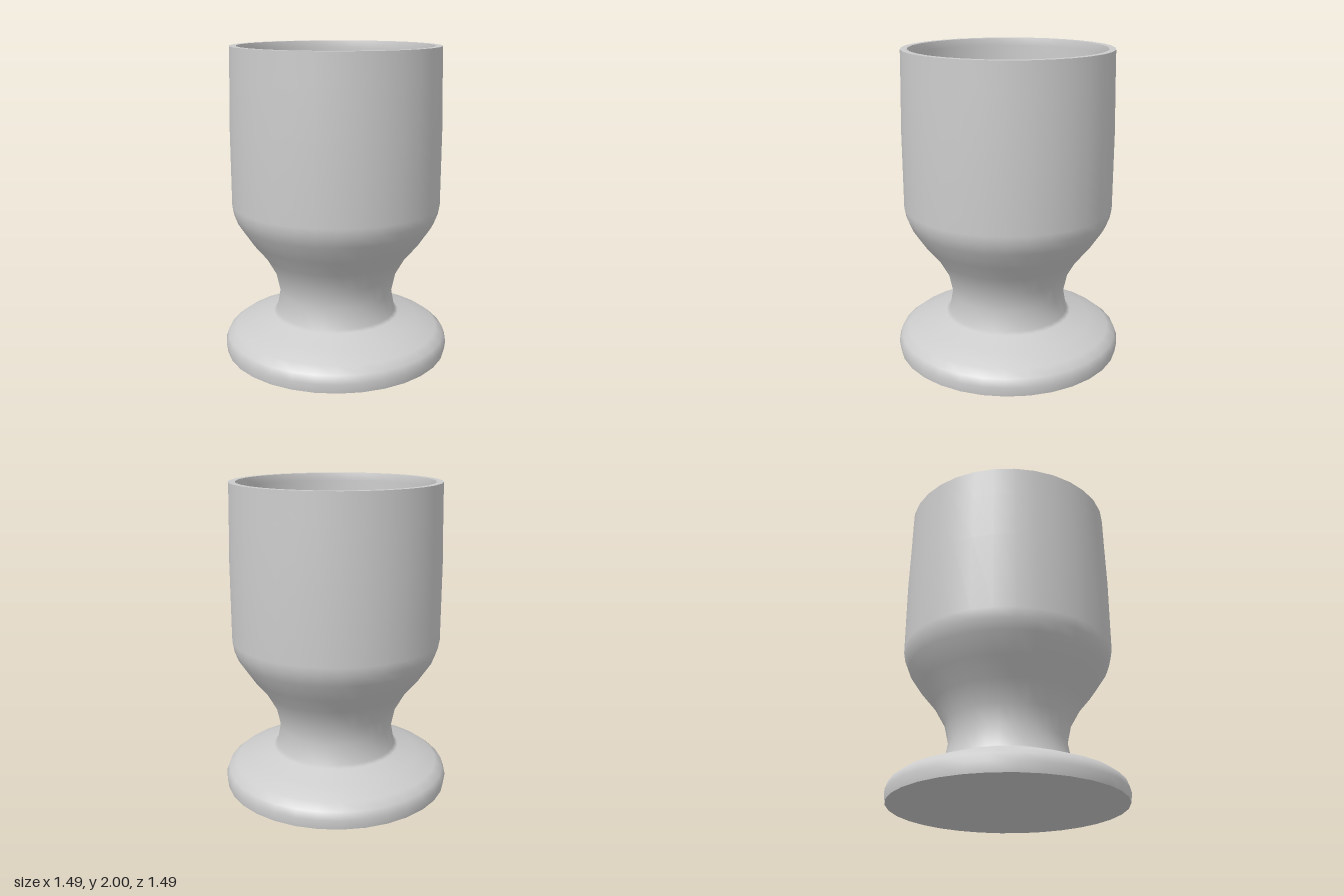
import * as THREE from 'three';

const SIDES = 32;

export function createModel() {
  const group = new THREE.Group();
  group.name = 'goblet';
  const material = new THREE.MeshStandardMaterial({ color: 0xcccccc });

  function add(name, geometry) {
    const mesh = new THREE.Mesh(geometry, material);
    mesh.name = name;
    group.add(mesh);
    return mesh;
  }

  // Turns a profile of [radius, height] pairs around the y axis
  function turn(name, profile) {
    const points = profile.map(([r, y]) => new THREE.Vector2(r, y));
    return add(name, new THREE.LatheGeometry(points, SIDES));
  }

  // Foot, waisted stem and outer wall, from the ground up to the rim
  turn('outerBody', [
    [0.735, 0], [0.743, 0.06], [0.725, 0.11], [0.675, 0.15], [0.55, 0.2],
    [0.42, 0.245], [0.395, 0.26], [0.372, 0.39], [0.4, 0.52], [0.47, 0.645],
    [0.56, 0.755], [0.64, 0.875], [0.665, 0.94], [0.676, 1.0],
    [0.676, 1.5], [0.668, 1.8], [0.664, 2],
  ]);

  // Narrow flat lip
  turn('rim', [[0.664, 2], [0.622, 2]]);

  // Inner wall running down to the rounded cup floor
  turn('innerBowl', [
    [0.622, 2], [0.612, 1.95], [0.612, 1.5], [0.612, 1.02], [0.59, 0.93],
    [0.51, 0.81], [0.42, 0.72], [0.35, 0.665], [0.2, 0.635], [0, 0.625],
  ]);

  // Flat underside of the foot
  add('underside', new THREE.CircleGeometry(0.735, SIDES).rotateX(Math.PI / 2));

  return group;
}
